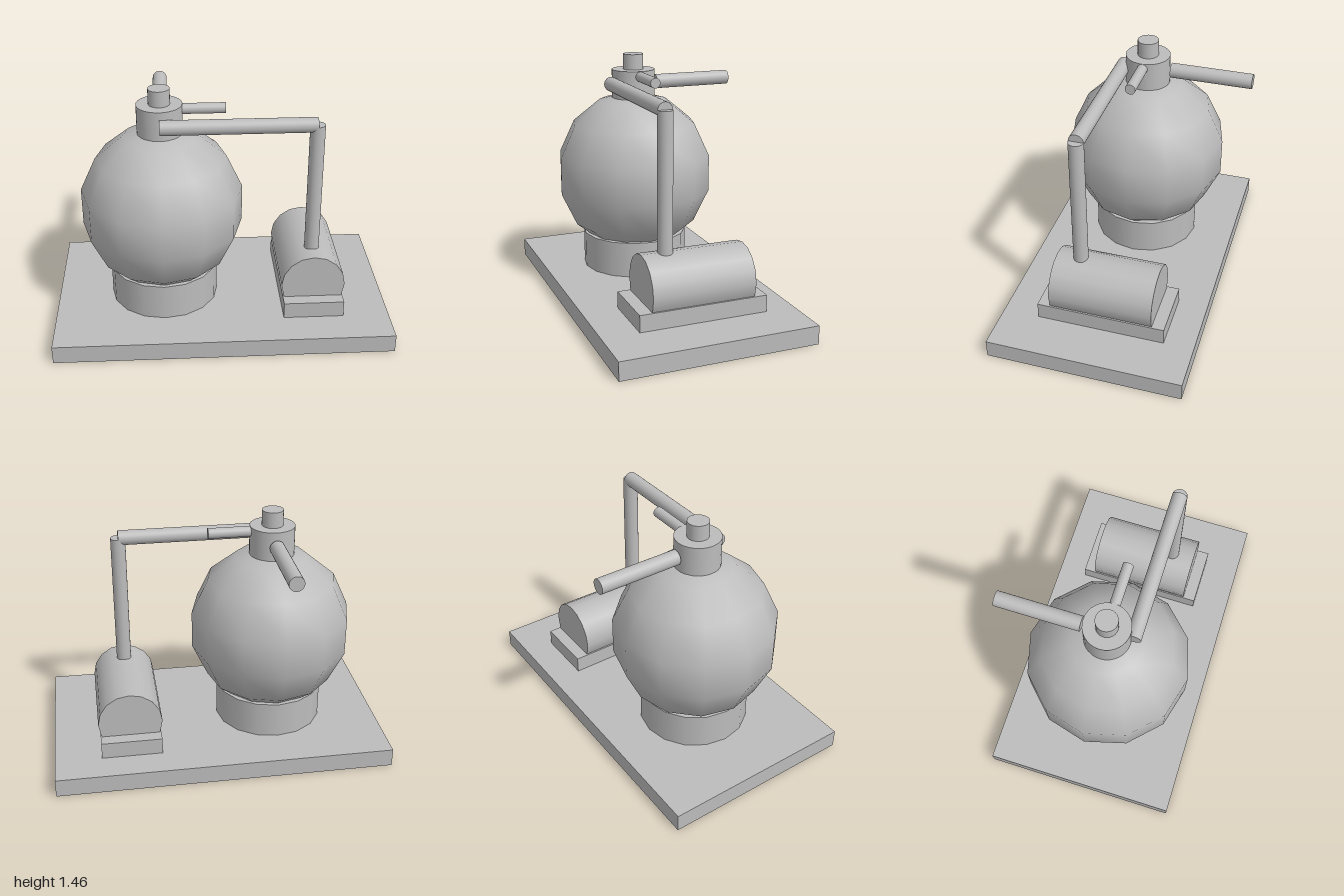
import * as THREE from 'three';

export function createModel() {
  const model = new THREE.Group();
  const grey = new THREE.MeshStandardMaterial({ color: 0xbcbcbc });
  grey.name = 'plain grey';

  const add = (name, geometry, x, y, z) => {
    const mesh = new THREE.Mesh(geometry, grey);
    mesh.name = name;
    mesh.position.set(x, y, z);
    model.add(mesh);
    return mesh;
  };

  // Closed cylinder running from one point to another
  const rod = (name, radius, from, to, sides = 24) => {
    const a = new THREE.Vector3(...from);
    const b = new THREE.Vector3(...to);
    const mid = a.clone().add(b).multiplyScalar(0.5);
    const mesh = add(name, new THREE.CylinderGeometry(radius, radius, a.distanceTo(b), sides), mid.x, mid.y, mid.z);
    mesh.quaternion.setFromUnitVectors(new THREE.Vector3(0, 1, 0), b.sub(a).normalize());
    return mesh;
  };

  const vx = -0.347, vz = 0.027; // axis of the round vessel
  const tx = 0.544;              // axis of the lying tank

  // Base plate
  add('basePlate', new THREE.BoxGeometry(2, 0.11, 1.16), 0, 0.055, 0.027);

  // Round vessel on its pedestal
  rod('pedestal', 0.326, [vx, 0.1, vz], [vx, 0.33, vz], 16);
  add('vessel', new THREE.SphereGeometry(0.491, 12, 7).scale(1, 1.033, 1), vx, 0.712, vz);

  // Neck and cap
  rod('neck', 0.133, [vx, 1.1, vz], [vx, 1.362, vz], 32);
  rod('cap', 0.063, [vx, 1.36, vz], [vx, 1.456, vz]);

  // Pipes around the neck
  rod('sidePipe', 0.031, [-0.22, 1.329, vz], [0.033, 1.329, vz]);
  rod('backPipe', 0.044, [vx, 1.275, -0.117], [vx, 1.275, -0.608]);
  rod('crossPipe', 0.044, [vx, 1.275, 0.173], [tx, 1.275, 0.173]);
  rod('downPipe', 0.044, [tx, 0.44, 0.173], [tx, 1.275, 0.173]);

  // Lying tank on its cradle
  add('cradle', new THREE.BoxGeometry(0.36, 0.1, 0.765), tx, 0.16, 0.008);
  rod('tank', 0.19, [tx, 0.291, -0.3], [tx, 0.291, 0.315], 16);

  return model;
}
